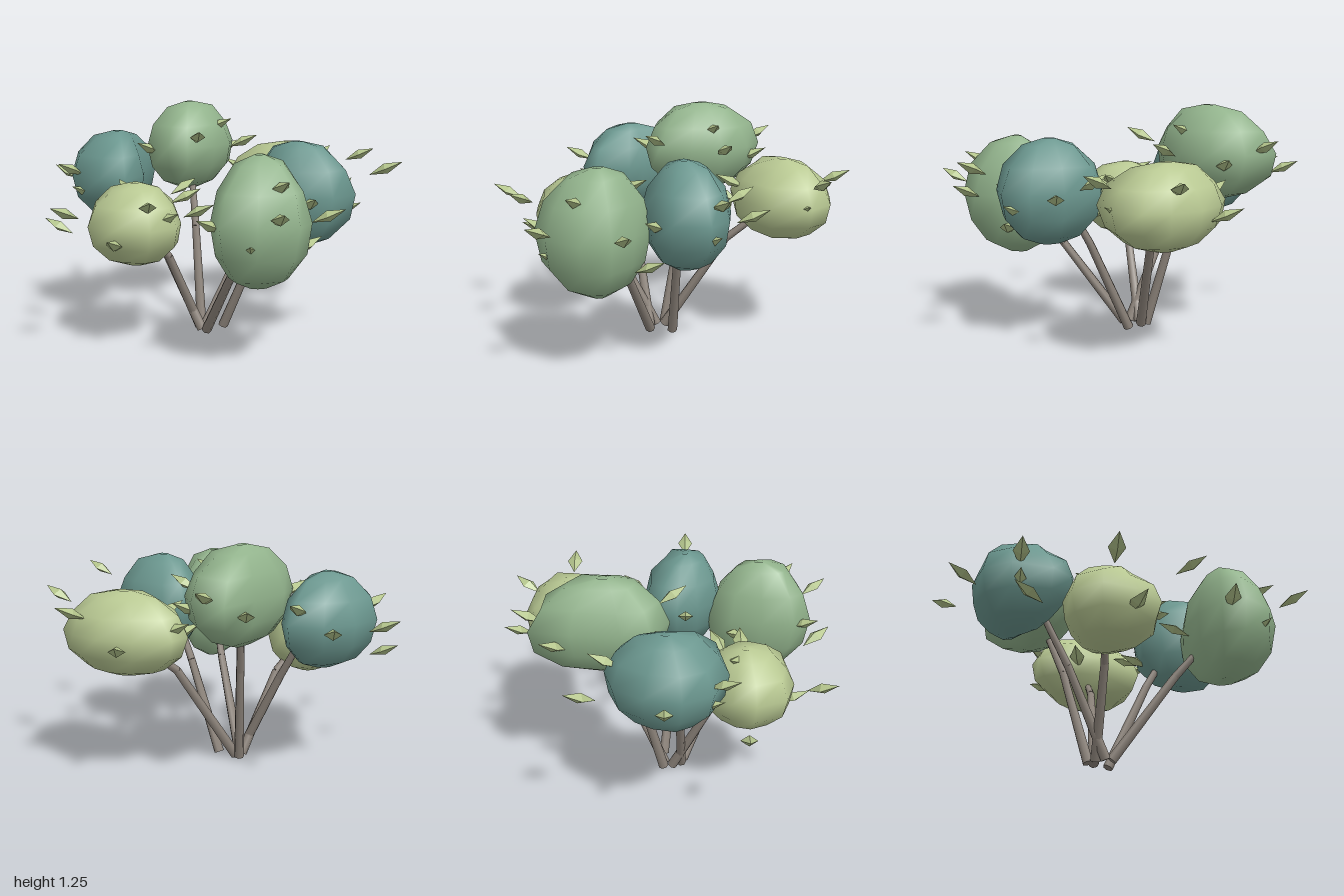
import * as THREE from 'three';
import { mergeVertices } from 'three/addons/utils/BufferGeometryUtils.js';

const mat = (name, color, extra = {}) => {
  const m = new THREE.MeshStandardMaterial({ color, ...extra });
  m.name = name;
  return m;
};
const TEAL = mat('teal foliage', 0x6b978f);
const GREEN = mat('green foliage', 0x93b48d);
const LIME = mat('lime foliage', 0xb9c993);
const LEAF = mat('leaf', 0xb3c48b, { flatShading: true });
const BARK = mat('bark', 0x8c837a);

// Crown profile from top to bottom: [share of outline, share of half height]
const PROFILE = [[0, 0.95], [0.1, 1], [0.5, 0.88], [0.84, 0.5], [1, 0.04],
  [0.91, -0.44], [0.6, -0.82], [0.2, -1], [0, -0.97]];

// Rounded crown: the plan outline is shrunk towards the pole along the profile
function crownGeometry(pole, yMin, yMax, outline) {
  const n = outline.length, pos = [], index = [];
  const mid = (yMin + yMax) / 2, half = (yMax - yMin) / 2;
  PROFILE.forEach(([r, h], i) => {
    outline.forEach(([x, z], j) => {
      const wobble = r > 0.3 && r < 1 ? 0.03 * Math.sin(j * 2.3 + i * 1.7) : 0;
      const k = r + wobble;
      pos.push(pole[0] + (x - pole[0]) * k, mid + half * (h + wobble * 0.6), pole[1] + (z - pole[1]) * k);
    });
  });
  for (let i = 0; i < PROFILE.length - 1; i++) {
    for (let j = 0; j < n; j++) {
      const a = i * n + j, b = i * n + (j + 1) % n;
      if (i > 0) index.push(a, b, b + n);
      if (i < PROFILE.length - 2) index.push(a, b + n, a + n);
    }
  }
  // the top fan needs its lower triangles, the bottom fan its upper ones
  const g = new THREE.BufferGeometry();
  g.setAttribute('position', new THREE.Float32BufferAttribute(pos, 3));
  g.setIndex(index);
  const merged = mergeVertices(g, 1e-5);
  merged.computeVertexNormals();
  return merged;
}

// Diamond-shaped leaf: long along z, wide along x, thin along y
const leafGeometry = new THREE.OctahedronGeometry(1, 0).scale(0.043, 0.027, 0.09);

function makeCrown(name, material, pole, yMin, yMax, outline, leaves) {
  const group = new THREE.Group();
  group.name = name;
  const crown = new THREE.Mesh(crownGeometry(pole, yMin, yMax, outline), material);
  crown.name = name + 'Foliage';
  group.add(crown);
  // leaves point outwards and slightly up
  for (const [x, y, z] of leaves) {
    const leaf = new THREE.Mesh(leafGeometry, LEAF);
    leaf.name = 'leaf';
    const out = new THREE.Vector3(x - pole[0], 0, z - pole[1]).normalize();
    out.y = 0.45;
    leaf.position.set(x, y, z);
    leaf.lookAt(out.add(leaf.position));
    group.add(leaf);
  }
  return group;
}

// Bent stem made of tapering rods
function makeStem(points) {
  const group = new THREE.Group();
  group.name = 'stem';
  const radii = [0.028, 0.022, 0.018];
  for (let i = 0; i < points.length - 1; i++) {
    const a = new THREE.Vector3(...points[i]), b = new THREE.Vector3(...points[i + 1]);
    const d = b.clone().sub(a);
    const rod = new THREE.Mesh(new THREE.CylinderGeometry(radii[i + 1], radii[i], d.length(), 7), BARK);
    rod.name = 'stemSection';
    rod.position.copy(a).addScaledVector(d, 0.5);
    rod.quaternion.setFromUnitVectors(new THREE.Vector3(0, 1, 0), d.normalize());
    group.add(rod);
  }
  return group;
}

export function createModel() {
  const model = new THREE.Group();
  model.name = 'shrub';

  // Stems
  [
    [[-0.05, 0.015, 0.06], [0.2, 0.47, 0.29], [0.28, 0.6, 0.38]],
    [[0.01, 0.015, -0.05], [0.23, 0.51, 0.01], [0.32, 0.68, 0.04]],
    [[-0.09, 0.015, -0.04], [0.1, 0.55, -0.33], [0.17, 0.67, -0.46]],
    [[-0.12, 0.015, -0.05], [-0.2, 0.55, -0.18], [-0.26, 0.83, -0.28]],
    [[-0.08, 0.015, 0.05], [-0.32, 0.48, 0.04], [-0.46, 0.72, 0.02]],
    [[-0.11, 0.015, 0], [-0.21, 0.46, 0.21], [-0.27, 0.57, 0.29]],
  ].forEach(p => model.add(makeStem(p)));

  // Crowns: pole, height range, plan outline, leaf centres
  model.add(makeCrown('rearGreenCrown', GREEN, [-0.3, -0.34], 0.75, 1.25,
    [[-0.42, -0.71], [-0.22, -0.68], [-0.1, -0.55], [-0.06, -0.38], [-0.09, -0.2],
      [-0.2, -0.05], [-0.3, -0.01], [-0.46, -0.1], [-0.49, -0.25], [-0.46, -0.5]],
    [[-0.32, 1.05, -0.72], [-0.46, 0.95, -0.58], [-0.15, 0.96, -0.6], [0.03, 1.03, -0.35],
      [-0.12, 1.12, -0.34], [-0.12, 1.08, 0.0], [-0.44, 1.0, -0.07]]));

  model.add(makeCrown('rightTealCrown', TEAL, [-0.61, -0.03], 0.61, 1.1,
    [[-0.55, -0.33], [-0.49, -0.28], [-0.46, -0.05], [-0.42, 0.05], [-0.44, 0.25],
      [-0.58, 0.28], [-0.78, 0.2], [-0.86, 0.05], [-0.82, -0.13], [-0.72, -0.28]],
    [[-0.93, 0.85, -0.03], [-0.83, 0.88, -0.42], [-0.76, 0.91, 0.25], [-0.6, 0.95, -0.32],
      [-0.72, 0.78, 0.18], [-0.47, 0.8, 0.17]]));

  model.add(makeCrown('frontLimeCrown', LIME, [-0.33, 0.37], 0.45, 0.88,
    [[-0.28, 0.14], [-0.16, 0.2], [-0.09, 0.33], [-0.06, 0.46], [-0.15, 0.6],
      [-0.33, 0.63], [-0.5, 0.58], [-0.57, 0.42], [-0.54, 0.3], [-0.42, 0.17]],
    [[-0.78, 0.62, 0.37], [-0.54, 0.77, 0.74], [-0.09, 0.83, 0.76], [0.02, 0.75, 0.37],
      [-0.11, 0.72, 0.47], [-0.39, 0.84, 0.33], [-0.33, 0.6, 0.63], [-0.1, 0.8, 0.24],
      [-0.16, 0.83, 0.12]]));

  model.add(makeCrown('frontGreenCrown', GREEN, [0.37, 0.48], 0.42, 1.07,
    [[0.33, 0.2], [0.46, 0.24], [0.56, 0.36], [0.64, 0.5], [0.62, 0.65],
      [0.45, 0.77], [0.27, 0.78], [0.19, 0.68], [0.19, 0.5], [0.24, 0.33]],
    [[0.71, 0.79, 0.47], [0.57, 0.83, 0.83], [0.21, 0.76, 0.74], [0.52, 0.94, 0.64],
      [0.57, 0.6, 0.29], [0.41, 0.65, 0.72], [0.16, 0.72, 0.34]]));

  model.add(makeCrown('leftTealCrown', TEAL, [0.45, 0.07], 0.54, 1.09,
    [[0.3, -0.17], [0.52, -0.16], [0.68, -0.08], [0.76, 0.05], [0.68, 0.22],
      [0.52, 0.27], [0.36, 0.26], [0.24, 0.14], [0.19, 0.02], [0.22, -0.08]],
    [[0.91, 0.97, 0.07], [0.7, 0.74, 0.02], [0.15, 0.83, 0.07], [0.28, 0.77, -0.23],
      [0.43, 0.88, -0.25], [0.63, 0.82, -0.23], [0.57, 0.8, 0.26], [0.22, 0.7, -0.07]]));

  model.add(makeCrown('rearLimeCrown', LIME, [0.24, -0.59], 0.58, 1.01,
    [[0.23, -0.83], [0.4, -0.8], [0.52, -0.73], [0.58, -0.59], [0.5, -0.38],
      [0.2, -0.33], [0, -0.4], [-0.12, -0.55], [-0.1, -0.66], [0.05, -0.78]],
    [[0.09, 0.77, -0.85], [0.38, 0.92, -0.83], [0.66, 0.95, -0.59], [0.52, 0.79, -0.57],
      [0.13, 0.88, -0.34], [0.02, 0.78, -0.36], [-0.08, 0.85, -0.6]]));

  return model;
}
